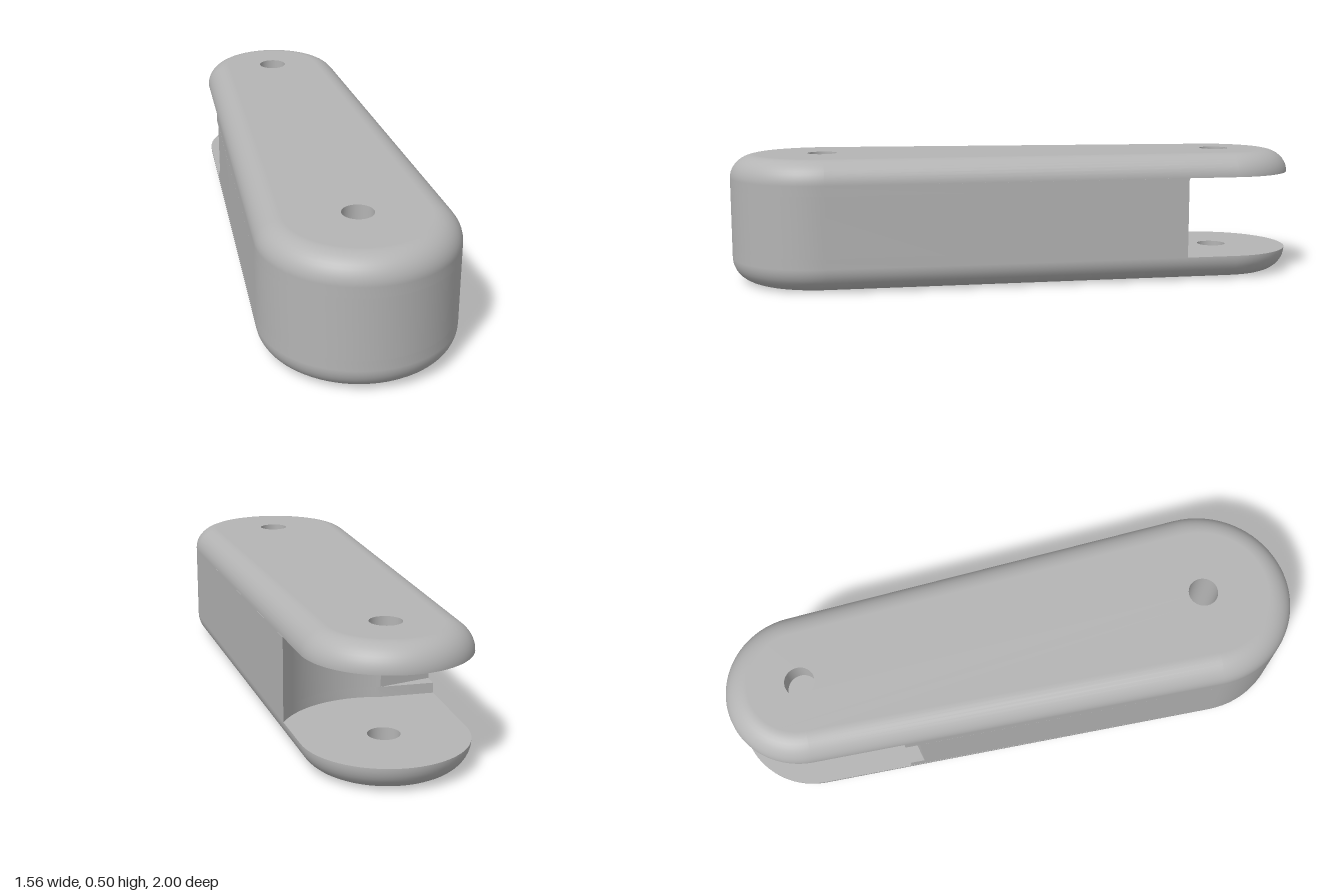
import * as THREE from 'three';
import { toCreasedNormals } from 'three/addons/utils/BufferGeometryUtils.js';

// Two round ends (seen from above) joined by tangent sides
const SMALL = { x: -0.48, z: -0.70, r: 0.30 };
const BIG = { x: 0.42, z: 0.64, r: 0.36 };
const HOLE = 0.058, HEIGHT = 0.5, SLOT_LOW = 0.095, SLOT_HIGH = 0.41, FILLET = 0.1;

const dx = BIG.x - SMALL.x, dz = BIG.z - SMALL.z;
const axis = Math.atan2(dz, dx);
const spread = Math.acos((SMALL.r - BIG.r) / Math.hypot(dx, dz));
const LEFT = axis + spread, RIGHT = axis - spread;

// Arc samples as { x, z, angle }, in increasing angle
function arc(c, from, to, n, inset = 0) {
  return Array.from({ length: n + 1 }, (_, i) => {
    const angle = from + (to - from) * i / n, r = c.r - inset;
    return { x: c.x + r * Math.cos(angle), z: c.z + r * Math.sin(angle), angle };
  });
}
const bigArc = (inset) => arc(BIG, RIGHT, LEFT, 40, inset);
const smallArc = (inset) => arc(SMALL, LEFT, RIGHT + 2 * Math.PI, 40, inset);
const outline = (inset) => [...bigArc(inset), ...smallArc(inset)];

// Inner wall of the slot: a concave arc, then a straight relief to the left side
function slotWall(leftX, leftZ) {
  const c = { x: SMALL.x, z: SMALL.z, r: 0.364 };
  return [...arc(c, -0.03, 1.274, 24), { x: leftX, z: leftZ }];
}
const wideWall = slotWall(-0.55, -0.244);
const deepWall = slotWall(-0.52, -0.195);

function makeShape(points, holes) {
  const shape = new THREE.Shape(points.map((p) => new THREE.Vector2(p.x, -p.z)));
  for (const h of holes) {
    shape.holes.push(new THREE.Path().absarc(h.x, -h.z, HOLE, 0, Math.PI * 2, true));
  }
  return shape;
}

// Flat face at height y, facing up or down
function flatFace(shape, y, down) {
  const geo = new THREE.ShapeGeometry(shape, 20).rotateX(-Math.PI / 2).translate(0, y, 0);
  if (down) {
    geo.setIndex(Array.from(geo.index.array).reverse());
    geo.computeVertexNormals();
  }
  return geo;
}

// Straight-sided layer of the body
function layer(points, y0, y1) {
  const geo = new THREE.ExtrudeGeometry(makeShape(points, [BIG]), {
    depth: y1 - y0, bevelEnabled: false, curveSegments: 20,
  });
  geo.rotateX(-Math.PI / 2).translate(0, y0, 0);
  return toCreasedNormals(geo, 0.45);
}

// Rounded rim swept round the outline, from tilt t0 to t1
function rim(yc, rise, t0, t1) {
  const pos = [], nor = [], idx = [], steps = 10;
  const n = outline(0).length;
  for (let k = 0; k <= steps; k++) {
    const t = t0 + (t1 - t0) * k / steps, c = Math.cos(t), s = Math.sin(t);
    for (const p of outline(FILLET * (1 - c))) {
      pos.push(p.x, yc + rise * s, p.z);
      nor.push(Math.cos(p.angle) * c, s, Math.sin(p.angle) * c);
    }
  }
  for (let k = 0; k < steps; k++) {
    for (let j = 0; j < n; j++) {
      const a = k * n + j, b = k * n + (j + 1) % n;
      idx.push(a, a + n, b, b, a + n, b + n);
    }
  }
  const geo = new THREE.BufferGeometry();
  geo.setAttribute('position', new THREE.Float32BufferAttribute(pos, 3));
  geo.setAttribute('normal', new THREE.Float32BufferAttribute(nor, 3));
  geo.setIndex(idx);
  return geo;
}

// Inside wall of a pin hole
function bore(c, y0, y1) {
  const geo = new THREE.CylinderGeometry(HOLE, HOLE, y1 - y0, 40, 1, true);
  return geo.translate(c.x, (y0 + y1) / 2, c.z);
}

export function createModel() {
  const group = new THREE.Group();
  group.name = 'forkedLink';
  const grey = new THREE.MeshStandardMaterial({ color: 0xb4b4b4 });
  grey.name = 'grey';
  const greyInside = grey.clone();
  greyInside.side = THREE.DoubleSide;
  const add = (name, geo, mat = grey) => {
    const mesh = new THREE.Mesh(geo, mat);
    mesh.name = name;
    group.add(mesh);
  };

  // Body: wide slot wall above and below, deeper relief between
  const wide = [...bigArc(0), ...[...wideWall].reverse()];
  const deep = [...bigArc(0), ...[...deepWall].reverse()];
  add('bodyLower', layer(wide, SLOT_LOW, 0.135));
  add('bodyMiddle', layer(deep, 0.135, 0.37));
  add('bodyUpper', layer(wide, 0.37, SLOT_HIGH));

  // Fork plates: rounded rim, outer face and slot face
  const outer = makeShape(outline(FILLET), [SMALL, BIG]);
  const inner = makeShape([...smallArc(0), ...wideWall], [SMALL]);
  add('upperPlateRim', rim(SLOT_HIGH, HEIGHT - SLOT_HIGH, 0, Math.PI / 2));
  add('upperPlateTop', flatFace(outer, HEIGHT, false));
  add('upperPlateSlotFace', flatFace(inner, SLOT_HIGH, true));
  add('lowerPlateRim', rim(SLOT_LOW, SLOT_LOW, -Math.PI / 2, 0));
  add('lowerPlateBottom', flatFace(outer, 0, true));
  add('lowerPlateSlotFace', flatFace(inner, SLOT_LOW, false));

  // Pin holes
  add('bigEndHole', bore(BIG, 0, HEIGHT), greyInside);
  add('upperForkHole', bore(SMALL, SLOT_HIGH, HEIGHT), greyInside);
  add('lowerForkHole', bore(SMALL, 0, SLOT_LOW), greyInside);
  return group;
}
